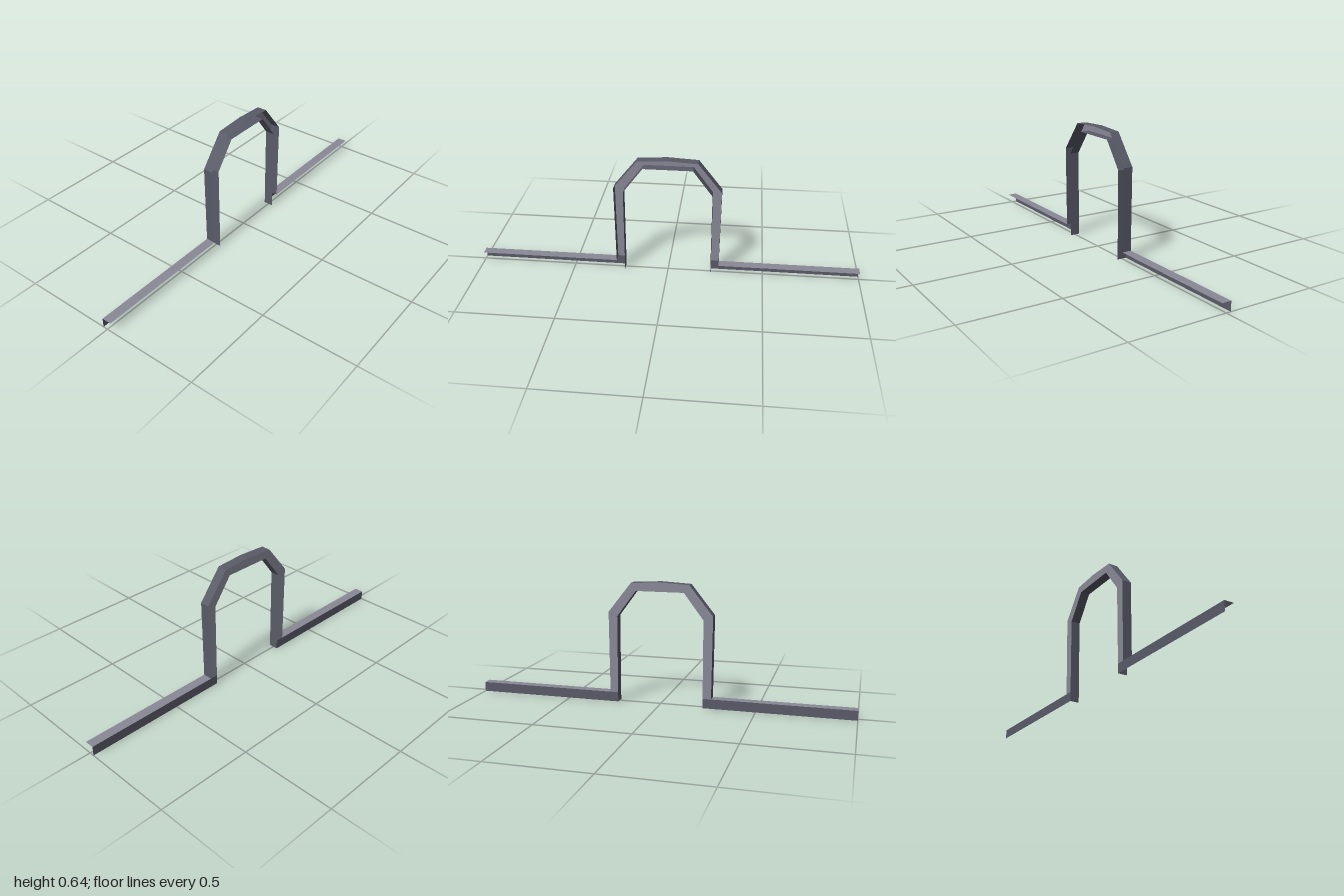
import * as THREE from 'three';

const W = 0.025; // half width of the section

// Sheet metal strip: a (z, y) path swept across the full width in x
function strip(path) {
  const pos = [];
  for (let i = 0; i < path.length - 1; i++) {
    const [z0, y0] = path[i], [z1, y1] = path[i + 1];
    const a = [-W, y0, z0], b = [W, y0, z0], c = [W, y1, z1], d = [-W, y1, z1];
    pos.push(...a, ...b, ...c, ...a, ...c, ...d);
  }
  const g = new THREE.BufferGeometry();
  g.setAttribute('position', new THREE.Float32BufferAttribute(pos, 3));
  g.computeVertexNormals();
  return g;
}

// Upright plate on the -x side, outlined in (z, y)
function sidePlate(points) {
  const shape = new THREE.Shape(points.map(([z, y]) => new THREE.Vector2(z, y)));
  return new THREE.ShapeGeometry(shape).rotateY(-Math.PI / 2).translate(-W, 0, 0);
}

export function createModel() {
  const group = new THREE.Group();
  const mat = (name, color) => {
    const m = new THREE.MeshStandardMaterial({ color, side: THREE.DoubleSide, flatShading: true });
    m.name = name;
    return m;
  };
  const lightSteel = mat('lightSteel', 0x8a8a98);
  const darkSteel = mat('darkSteel', 0x595b68);
  const add = (name, geometry, material) => {
    const mesh = new THREE.Mesh(geometry, material);
    mesh.name = name;
    group.add(mesh);
  };

  // Arch: an angular channel, open towards +x
  const outer = [[0.272, 0.05], [0.277, 0.478], [0.154, 0.632], [0, 0.64],
    [-0.152, 0.632], [-0.273, 0.478], [-0.268, 0.05]];
  const inner = [[0.228, 0], [0.228, 0.457], [0.126, 0.592],
    [-0.126, 0.592], [-0.226, 0.457], [-0.226, 0]];
  add('archOuterFlange', strip(outer), darkSteel);
  add('archInnerFlange', strip(inner), darkSteel);

  // Web stops at the rail tops
  const webInner = inner.map(([z, y]) => [z, Math.max(y, 0.05)]).reverse();
  add('archWeb', sidePlate([...outer, ...webInner]), lightSteel);

  // Rails: angle sections running out to the front and back
  for (const [side, s, zOut, zIn] of [['front', 1, 0.272, 0.228], ['back', -1, 0.268, 0.226]]) {
    add(side + 'RailTop', strip([[s, 0.05], [s * zOut, 0.05]]), lightSteel);
    add(side + 'RailSide', sidePlate([[s, 0], [s, 0.05], [s * zIn, 0.05], [s * zIn, 0]]), darkSteel);
  }
  return group;
}
